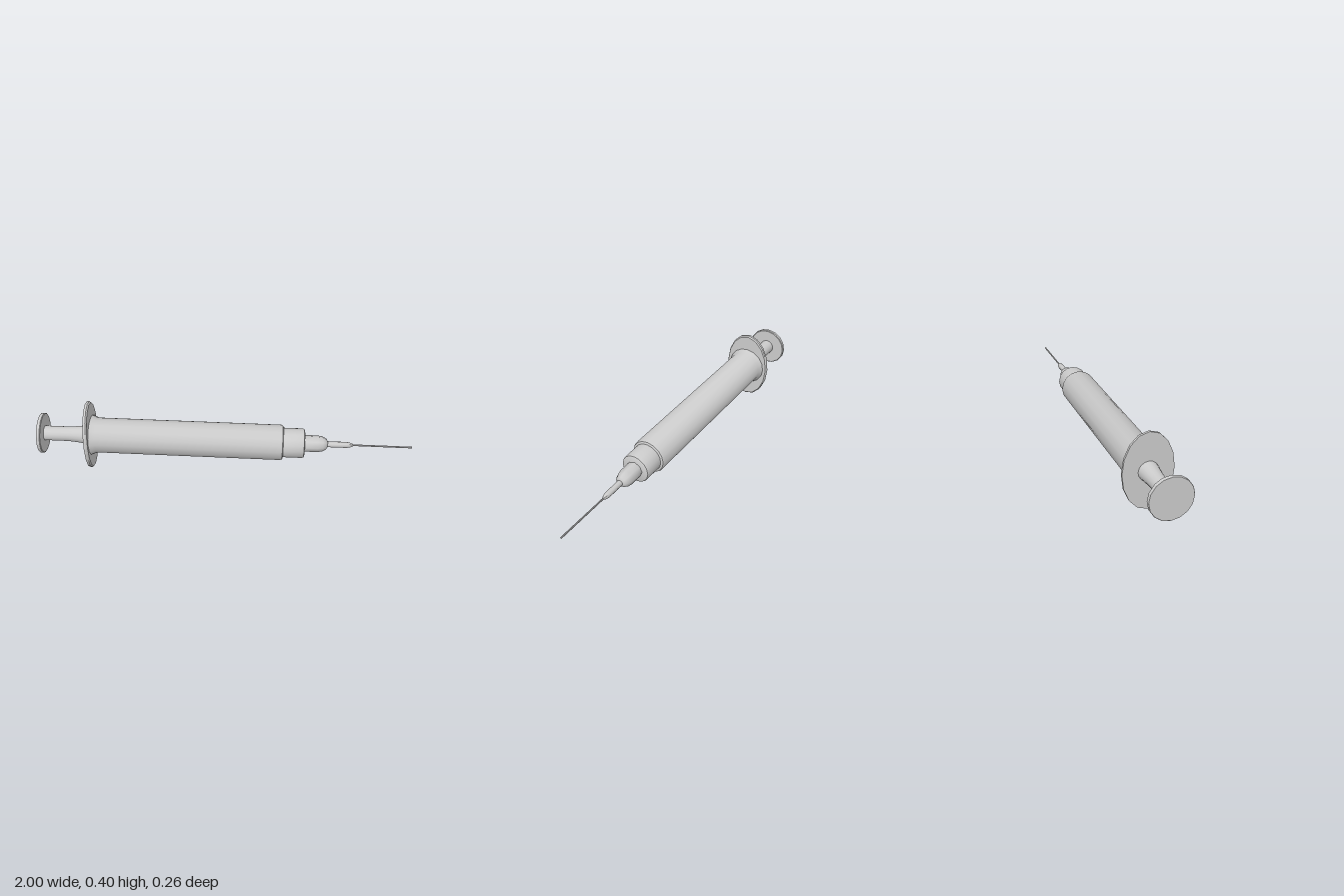
import * as THREE from 'three';
import { toCreasedNormals } from 'three/addons/utils/BufferGeometryUtils.js';

const material = new THREE.MeshStandardMaterial({ color: 0xcccccc });

// Solid of revolution along +x from [x, radius] pairs, running tail to tip
function turned(name, profile, sides = 16, crease = 0.6) {
  const points = profile.map(([x, r]) => new THREE.Vector2(r, x));
  const geometry = new THREE.LatheGeometry(points, sides);
  geometry.rotateZ(-Math.PI / 2);
  const mesh = new THREE.Mesh(toCreasedNormals(geometry, crease), material);
  mesh.name = name;
  return mesh;
}

export function createModel() {
  const group = new THREE.Group();
  group.name = 'syringe';
  group.position.y = 0.2;

  // Thumb disc and plunger rod, flaring into the finger flange
  const thumbDisc = turned('thumbDisc', [
    [-1, 0], [-1, 0.108], [-0.997, 0.11], [-0.983, 0.11], [-0.98, 0.106], [-0.98, 0],
  ]);
  const plungerRod = turned('plungerRod', [
    [-0.98, 0.04], [-0.86, 0.04], [-0.82, 0.042], [-0.77, 0.048], [-0.735, 0.052],
  ]);

  // Oval finger flange, taller than it is deep
  const fingerFlange = turned('fingerFlange', [
    [-0.74, 0], [-0.74, 0.2], [-0.727, 0.2], [-0.72, 0.193], [-0.72, 0],
  ]);
  fingerFlange.scale.z = 0.65;

  // Barrel with flared base and bevelled shoulder
  const barrel = turned('barrel', [
    [-0.722, 0.109], [-0.712, 0.107], [-0.69, 0.096], [0.303, 0.096],
    [0.312, 0.092], [0.316, 0.084], [0.316, 0],
  ]);
  const collar = turned('collar', [
    [0.31, 0.08], [0.418, 0.08], [0.426, 0.077], [0.43, 0.07], [0.43, 0],
  ]);

  // Eight-sided nozzle, needle hub and needle
  const nozzle = turned('nozzle', [
    [0.425, 0.045], [0.5, 0.045], [0.527, 0.04], [0.545, 0.03], [0.553, 0.016], [0.553, 0],
  ], 8, 0.9);
  const needleHub = turned('needleHub', [
    [0.55, 0.016], [0.655, 0.016], [0.675, 0.012], [0.688, 0.006], [0.688, 0],
  ], 8, 0.9);
  const needle = turned('needle', [[0.685, 0.0045], [1, 0.0045], [1, 0]], 8, 0.9);

  group.add(thumbDisc, plungerRod, fingerFlange, barrel, collar, nozzle, needleHub, needle);

  const model = new THREE.Group();
  model.add(group);
  return model;
}
